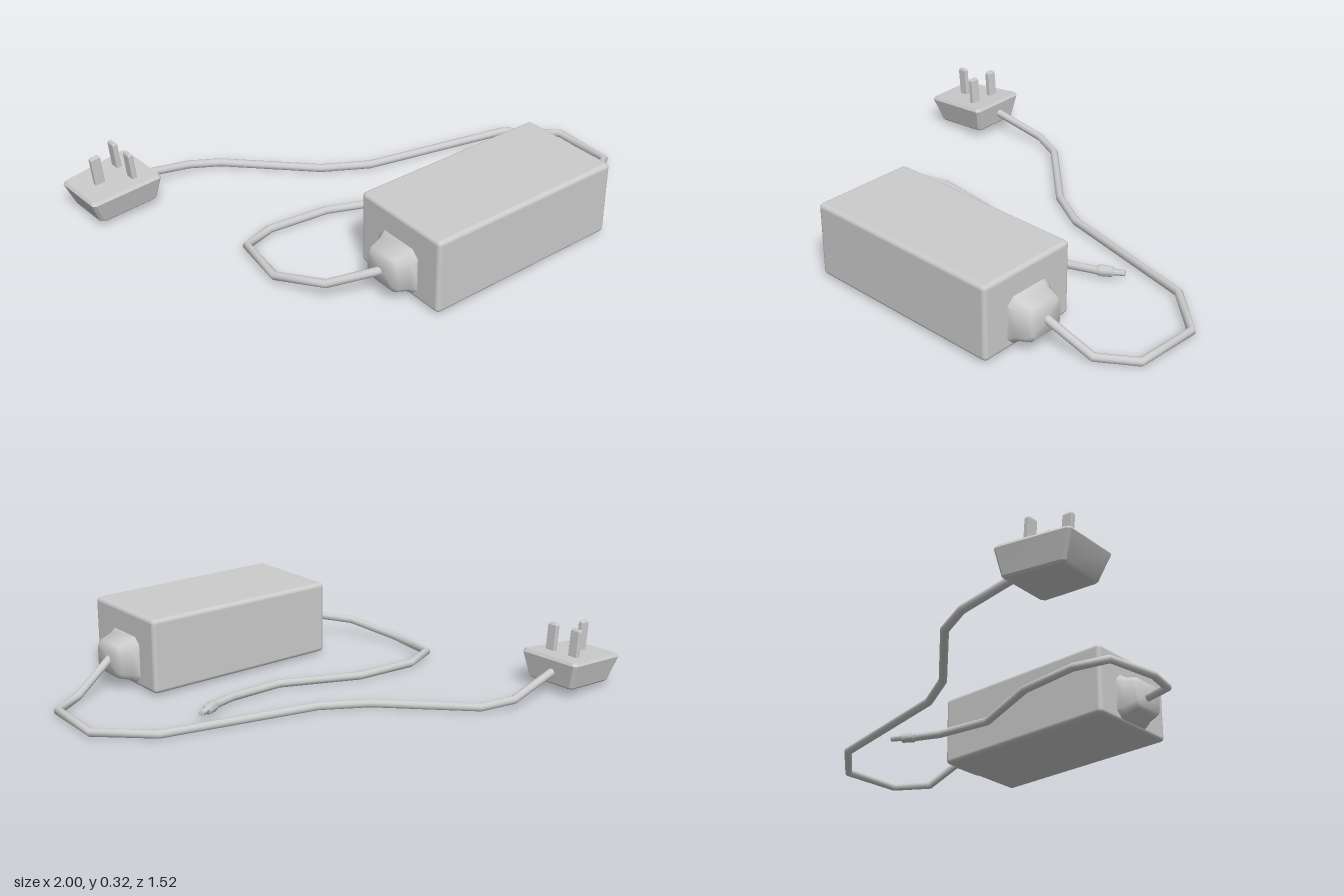
import * as THREE from 'three';
import { toCreasedNormals } from 'three/addons/utils/BufferGeometryUtils.js';
import { RoundedBoxGeometry } from 'three/addons/geometries/RoundedBoxGeometry.js';

const material = new THREE.MeshStandardMaterial({ color: 0xcccccc });
const V = (x, y, z) => new THREE.Vector3(x, y, z);

// Ring of points: a polygon with each corner cut off by c
function cutRing(corners, c) {
  const n = corners.length;
  return corners.flatMap((p, i) => [corners[(i + n - 1) % n], corners[(i + 1) % n]].map(
    (q) => p.clone().add(q.clone().sub(p).setLength(c))));
}

// Rectangular ring, counter-clockwise seen from above
const rectRing = (y, hx, hz, c) =>
  cutRing([V(hx, y, hz), V(hx, y, -hz), V(-hx, y, -hz), V(-hx, y, hz)], c);

// Closed skin over rings listed from bottom to top
function loft(rings, crease = 0.5) {
  const n = rings[0].length, m = rings.length, index = [];
  const centre = (r) => r.reduce((s, p) => s.add(p), V(0, 0, 0)).divideScalar(n);
  const points = [...rings.flat(), centre(rings[0]), centre(rings[m - 1])];
  for (let i = 0; i < n; i++) {
    const j = (i + 1) % n;
    for (let k = 0; k < m - 1; k++) {
      const a = k * n, b = a + n;
      index.push(a + i, a + j, b + j, a + i, b + j, b + i);
    }
    index.push(m * n, j, i, m * n + 1, (m - 1) * n + i, (m - 1) * n + j);
  }
  const g = new THREE.BufferGeometry().setFromPoints(points);
  g.setIndex(index);
  return toCreasedNormals(g, crease);
}

// Straight cable runs whose joints fall exactly on the given points
class Polyline extends THREE.Curve {
  constructor(points) { super(); this.points = points; }
  getPoint(t) { return this.points[Math.round(t * (this.points.length - 1))].clone(); }
  getPointAt(t) { return this.getPoint(t); }
  getTangentAt(t) {
    const p = this.points, i = Math.round(t * (p.length - 1)), d = V(0, 0, 0);
    if (i > 0) d.add(p[i].clone().sub(p[i - 1]).normalize());
    if (i < p.length - 1) d.add(p[i + 1].clone().sub(p[i]).normalize());
    return d.normalize();
  }
}

export function createModel() {
  const model = new THREE.Group();
  model.name = 'powerAdapter';
  const add = (name, geometry, parent = model) => {
    const mesh = new THREE.Mesh(geometry, material);
    mesh.name = name;
    parent.add(mesh);
    return mesh;
  };

  // Transformer brick
  add('brick', new RoundedBoxGeometry(0.87, 0.31, 0.44, 3, 0.018)).position.set(0.137, 0.165, 0.54);

  // Stepped strain reliefs on both ends of the brick
  for (const [name, side, x] of [['leftStrainRelief', 1, 0.57], ['rightStrainRelief', -1, -0.296]]) {
    const relief = add(name, loft([
      rectRing(-0.02, 0.1, 0.11, 0.03),
      rectRing(0, 0.1, 0.11, 0.03),
      rectRing(0.022, 0.084, 0.095, 0.025),
      rectRing(0.075, 0.068, 0.083, 0.02),
      rectRing(0.088, 0.055, 0.072, 0.02),
    ], 0.9));
    relief.rotation.z = -side * Math.PI / 2;
    relief.position.set(x, 0.122, 0.537);
  }

  // Cables
  const cables = {
    mainsCable: [[0.62, 0.143, 0.54], [0.66, 0.12, 0.53], [0.83, 0.02, 0.483], [0.97, 0.02, 0.39],
      [0.983, 0.02, 0.12], [0.795, 0.02, -0.055], [0.16, 0.02, -0.2], [-0.02, 0.02, -0.305],
      [-0.325, 0.02, -0.61], [-0.455, 0.035, -0.66], [-0.72, 0.095, -0.635]],
    outputCable: [[-0.34, 0.125, 0.55], [-0.38, 0.115, 0.53], [-0.55, 0.077, 0.43], [-0.633, 0.032, 0.22],
      [-0.6, 0.03, -0.01], [-0.46, 0.022, -0.06], [-0.2, 0.018, -0.035], [0.12, 0.018, 0.1],
      [0.37, 0.025, 0.08], [0.49, 0.03, 0.04]],
  };
  for (const [name, pts] of Object.entries(cables)) {
    const path = new Polyline(pts.map((p) => V(...p)));
    add(name, new THREE.TubeGeometry(path, pts.length - 1, 0.017, 10));
  }

  // Barrel connector at the end of the output cable
  const profile = [[0, 0], [0.018, 0], [0.023, 0.012], [0.021, 0.06], [0.013, 0.066], [0.012, 0.11], [0, 0.112]];
  const connector = add('barrelConnector', toCreasedNormals(
    new THREE.LatheGeometry(profile.map(([r, y]) => new THREE.Vector2(r, y)), 12), 0.6));
  connector.position.set(0.477, 0.03, 0.043);
  connector.quaternion.setFromUnitVectors(V(0, 1, 0), V(0.1, 0.003, -0.052).normalize());

  // Wall plug: tapered body, slightly tilted, widest at the pin face
  const plug = new THREE.Group();
  plug.name = 'wallPlug';
  model.add(plug);
  const top = [[-0.68, -0.483], [-0.69, -0.763], [-1, -0.733], [-0.99, -0.49]];
  const base = [[-0.695, -0.508], [-0.702, -0.738], [-0.96, -0.714], [-0.952, -0.514]];
  const plugRing = (outline, y, inset) => cutRing(outline.map(([x, z]) => V(
    x - Math.sign(x + 0.84) * inset, y + 0.085 * (x + 0.84), z - Math.sign(z + 0.62) * inset)), 0.012);
  add('plugBody', loft([
    plugRing(base, 0.024, 0.008), plugRing(base, 0.032, 0),
    plugRing(top, 0.13, 0), plugRing(top, 0.142, 0.008),
  ]), plug);

  // Three pins with tapered tips: x, z, half width in x, half width in z
  const pins = [['earthPin', -0.893, -0.614, 0.021, 0.01],
    ['upperPin', -0.778, -0.675, 0.011, 0.022], ['lowerPin', -0.773, -0.56, 0.011, 0.022]];
  for (const [name, x, z, hx, hz] of pins) {
    const pin = add(name, loft([
      rectRing(0, hx, hz, 0.002), rectRing(0.127, hx, hz, 0.002), rectRing(0.135, hx - 0.005, hz - 0.005, 0.002),
    ]), plug);
    pin.position.set(x, 0.126, z);
    pin.rotation.z = 0.085;
  }
  return model;
}
